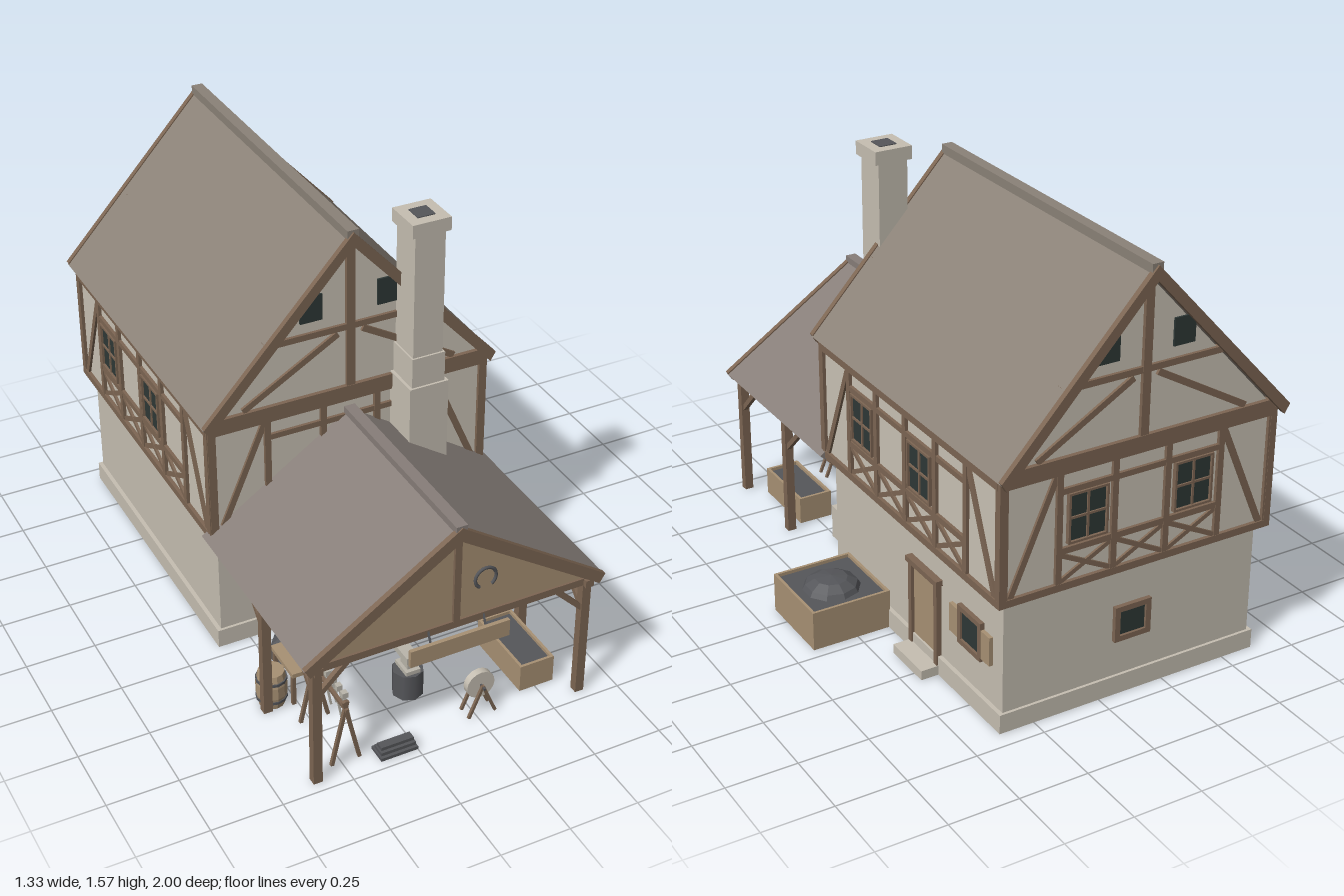
import * as THREE from 'three';

const mat = (name, color) => Object.assign(new THREE.MeshStandardMaterial({ color }), { name });
const plaster = mat('plaster', 0xcac3b5), stone = mat('stone', 0xc6bfb2), timber = mat('timber', 0x7d6653),
  wood = mat('wood', 0xa89174), roof = mat('roof', 0x8b8278), porchRoof = mat('porchRoof', 0x877e79),
  glass = mat('glass', 0x2e3836), brick = mat('brick', 0xb56c5c), coal = mat('coal', 0x55565a), steel = mat('steel', 0xbab6ab);

const CX = -0.12; // ridge line of house and porch

function add(parent, name, geo, material, x = 0, y = 0, z = 0) {
  const m = new THREE.Mesh(geo, material);
  m.name = name;
  m.position.set(x, y, z);
  parent.add(m);
  return m;
}
// box given by its limits
const box = (p, name, m, x0, x1, y0, y1, z0, z1) =>
  add(p, name, new THREE.BoxGeometry(x1 - x0, y1 - y0, z1 - z0), m, (x0 + x1) / 2, (y0 + y1) / 2, (z0 + z1) / 2);
// square bar between two points
function beam(p, name, m, a, b, w = 0.025, d = w) {
  const A = new THREE.Vector3(...a), B = new THREE.Vector3(...b), dir = B.clone().sub(A);
  const o = add(p, name, new THREE.BoxGeometry(w, dir.length(), d), m);
  o.position.copy(A).add(B).multiplyScalar(0.5);
  o.quaternion.setFromUnitVectors(new THREE.Vector3(0, 1, 0), dir.normalize());
  return o;
}
function prism(p, name, m, pts, z0, z1) {
  const s = new THREE.Shape(pts.map(q => new THREE.Vector2(...q)));
  return add(p, name, new THREE.ExtrudeGeometry(s, { depth: z1 - z0, bevelEnabled: false }), m, CX, 0, z0);
}
// faceted turned part
function turned(p, name, m, pts, sides, x, y, z) {
  const g = new THREE.LatheGeometry(pts.map(q => new THREE.Vector2(...q)), sides).toNonIndexed();
  g.computeVertexNormals();
  return add(p, name, g, m, x, y, z);
}
const heap = (p, name, r, h, x, y, z) =>
  turned(p, name, coal, [[0, 0], [r, 0], [r * 0.88, h * 0.45], [r * 0.55, h * 0.85], [0, h]], 10, x, y, z);
const group = (p, name, x = 0, y = 0, z = 0, ry = 0) => {
  const g = new THREE.Group();
  g.name = name;
  g.position.set(x, y, z);
  g.rotation.y = ry;
  p.add(g);
  return g;
};

// glazed window on a wall facing local +z
function windowUnit(p, u, y0, y1, w, frame = 0.008, bars = true) {
  const g = group(p, 'window', u, 0, 0), h = w / 2;
  box(g, 'pane', glass, -h, h, y0, y1, 0, 0.007);
  if (frame) for (const s of [-1, 1]) {
    box(g, 'jamb', timber, s * h - frame / 2, s * h + frame / 2, y0, y1, 0, 0.016);
    const y = s < 0 ? y0 : y1;
    box(g, 'frameRail', timber, -h - frame / 2, h + frame / 2, y - frame / 2, y + frame / 2, 0, 0.016);
  }
  if (bars) {
    box(g, 'mullion', timber, -0.004, 0.004, y0, y1, 0, 0.012);
    box(g, 'glazingBar', timber, -h, h, (y0 + y1) / 2 - 0.004, (y0 + y1) / 2 + 0.004, 0, 0.012);
  }
}

// timber frame of one upper wall: outermost posts are the corners
function timberWall(p, name, x, z, ry, posts, windows, parapet) {
  const g = group(p, name, x, 0, z, ry), n = posts.length, end = posts[n - 1];
  const bar = (a, b, w = 0.022, d = 0.022) => beam(g, 'timber', timber, [...a, 0], [...b, 0], w, d);
  posts.forEach((u, i) => bar([u, 0.48], [u, 0.92], i % (n - 1) ? 0.022 : 0.028, 0.024));
  bar([-end, 0.493], [end, 0.493], 0.026, 0.026);
  bar([-end, 0.905], [end, 0.905], 0.028, 0.026);
  bar([posts[1], 0.83], [posts[n - 2], 0.83], 0.02);
  for (const s of [-1, 1]) bar([s * (posts[n - 2] + 0.01), 0.89], [s * (end - 0.025), 0.505], 0.022, 0.018);
  if (parapet) {
    bar([posts[1], 0.62], [posts[n - 2], 0.62]);
    for (let i = 1; i < n - 2; i++) for (const s of [0, 1])
      bar([posts[i], s ? 0.61 : 0.505], [posts[i + 1], s ? 0.505 : 0.61], 0.016, 0.016 + s * 0.002);
  }
  windows.forEach(u => windowUnit(g, u, 0.645, 0.815, 0.14));
  return g;
}
function gableTimbers(g) {
  const bar = (a, b, w = 0.024, d = 0.022) => beam(g, 'gableTimber', timber, [...a, 0], [...b, 0], w, d);
  bar([-0.51, 0.925], [0.51, 0.925], 0.05, 0.03);
  bar([0, 0.95], [0, 1.48], 0.03, 0.026);
  bar([-0.31, 1.175], [0.31, 1.175], 0.022);
  for (const s of [-1, 1]) {
    bar([s * 0.045, 1.155], [s * 0.39, 0.955], 0.022, 0.02);
    windowUnit(g, s * 0.14, 1.225, 1.32, 0.08, 0, false);
  }
}
// two-sided roof with barge boards and ridge cap
function gableRoof(p, name, m, apex, eave, half, z0, z1, barges) {
  const g = group(p, name);
  const chevron = (t, lift) => [[-half, eave + lift], [-half + 0.02, eave - t * 0.6], [0, apex - t],
    [half - 0.02, eave - t * 0.6], [half, eave + lift], [0, apex + lift]];
  prism(g, 'roofSlopes', m, chevron(0.03, 0), z0, z1);
  for (const z of barges) prism(g, 'bargeBoard', timber, chevron(0.045, 0.006), z, z + 0.02);
  box(g, 'ridgeCap', m, CX - 0.02, CX + 0.02, apex - 0.02, apex + 0.012, z0 - 0.003, z1 + 0.003);
}

function buildHouse(root) {
  const g = group(root, 'house');
  box(g, 'plinth', stone, CX - 0.5, CX + 0.5, 0, 0.07, -0.94, 0.205);
  box(g, 'groundFloor', stone, CX - 0.485, CX + 0.485, 0.07, 0.49, -0.93, 0.195);
  prism(g, 'upperFloor', plaster, [[-0.51, 0.482], [0.51, 0.482], [0.51, 0.92], [0, 1.48], [-0.51, 0.92]], -0.95, 0.22);
  gableRoof(g, 'mainRoof', roof, 1.523, 0.935, 0.54, -0.99, 0.245, [-1, 0.235]);

  const ends = [-0.505, -0.305, -0.1, 0.1, 0.305, 0.505];
  const sides = [-0.582, -0.385, -0.195, 0, 0.195, 0.385, 0.582];
  gableTimbers(timberWall(g, 'frontFrame', CX, 0.22, 0, ends, [], false));
  gableTimbers(timberWall(g, 'backFrame', CX, -0.95, Math.PI, ends, [-0.2, 0.2], true));
  timberWall(g, 'leftFrame', CX + 0.51, -0.367, Math.PI / 2, sides, [-0.29, 0.098], true);
  timberWall(g, 'rightFrame', CX - 0.51, -0.367, -Math.PI / 2, sides, [-0.29, 0.098], true);

  // ground floor openings
  windowUnit(group(g, 'backWindow', CX, 0, -0.93, Math.PI), 0, 0.215, 0.325, 0.12, 0.02, false);
  const w = group(g, 'sideWall', CX + 0.485, 0, 0, Math.PI / 2);
  windowUnit(w, 0.745, 0.21, 0.335, 0.125, 0.018, false);
  for (const u of [0.65, 0.84]) box(w, 'shutter', wood, u - 0.03, u + 0.03, 0.215, 0.32, 0, 0.014);
  box(w, 'door', wood, 0.375, 0.53, 0.035, 0.345, 0, 0.008);
  for (const u of [0.368, 0.537]) box(w, 'doorPost', timber, u - 0.01, u + 0.01, 0.035, 0.345, 0, 0.02);
  box(w, 'doorLintel', timber, 0.35, 0.555, 0.343, 0.363, 0, 0.026);
  box(w, 'doorStep', stone, 0.36, 0.55, 0, 0.035, 0, 0.08);
}

function buildPorch(root) {
  const g = group(root, 'porch');
  gableRoof(g, 'porchRoof', porchRoof, 0.852, 0.49, 0.542, 0.2, 0.98, [0.967]);
  prism(g, 'gableBoards', wood, [[-0.5, 0.475], [0.5, 0.475], [0, 0.83]], 0.945, 0.957);
  box(g, 'kingPost', timber, CX - 0.012, CX + 0.012, 0.48, 0.81, 0.95, 0.968);
  box(g, 'tieBeam', timber, CX - 0.5, CX + 0.5, 0.455, 0.482, 0.935, 0.965);
  box(g, 'signBoard', wood, -0.3, 0.06, 0.382, 0.445, 0.984, 0.998);
  for (const x of [-0.22, -0.02]) beam(g, 'signHanger', coal, [x, 0.44, 0.98], [x, 0.48, 0.96], 0.006);
  const shoe = add(g, 'horseshoe', new THREE.TorusGeometry(0.038, 0.006, 6, 16, Math.PI * 1.6), coal, -0.015, 0.615, 0.96);
  shoe.rotation.z = -0.3 * Math.PI;
  for (const s of [-1, 1]) {
    const x = CX + s * 0.49;
    box(g, 'sideBeam', timber, x - 0.015, x + 0.015, 0.453, 0.48, 0.2, 0.98);
    for (const z of [0.95, 0.575]) {
      box(g, 'post', timber, x - 0.016, x + 0.016, 0, 0.46, z - 0.015, z + 0.015);
      beam(g, 'kneeBrace', timber, [x, 0.345, z - 0.005], [x, 0.458, z - 0.12], 0.018);
    }
    beam(g, 'crossBrace', timber, [x, 0.345, 0.95], [x - s * 0.115, 0.46, 0.95], 0.018);
  }
}

function buildForge(root) {
  const g = group(root, 'forge');
  box(g, 'hearth', stone, -0.05, 0.26, 0, 0.13, 0.195, 0.445);
  box(g, 'hearthBack', brick, -0.03, 0.245, 0.13, 0.33, 0.195, 0.275);
  box(g, 'hood', brick, -0.03, 0.245, 0.32, 0.39, 0.195, 0.42);
  box(g, 'throat', brick, 0.02, 0.2, 0.39, 0.6, 0.195, 0.36);
  heap(g, 'hearthCoal', 0.075, 0.025, 0.105, 0.13, 0.35);
  // chimney in narrowing stages
  for (const [h, y0, y1, z0, z1] of [[0.072, 0.5, 0.955, 0.21, 0.36], [0.061, 0.955, 1.065, 0.215, 0.352], [0.055, 1.065, 1.52, 0.222, 0.345]])
    box(g, 'chimneyStage', stone, 0.105 - h, 0.105 + h, y0, y1, z0, z1);
  box(g, 'chimneyCap', stone, 0.035, 0.175, 1.515, 1.563, 0.215, 0.355);
  box(g, 'flue', coal, 0.073, 0.137, 1.561, 1.566, 0.253, 0.317);
  // bellows with lever
  box(g, 'bellows', wood, -0.19, -0.075, 0.15, 0.18, 0.28, 0.39);
  box(g, 'bellowsBottom', timber, -0.18, -0.085, 0.125, 0.15, 0.29, 0.38);
  for (const x of [-0.18, -0.085]) box(g, 'bellowsStand', timber, x - 0.006, x + 0.006, 0, 0.13, 0.325, 0.345);
  beam(g, 'bellowsLever', timber, [-0.135, 0.17, 0.33], [-0.133, 0.33, 0.33], 0.008);
}

// open box with a fill
function crate(p, name, x0, x1, h, z0, z1, fill) {
  const g = group(p, name), t = 0.01;
  box(g, 'base', wood, x0, x1, 0, 0.01, z0, z1);
  for (const x of [x0, x1 - t]) box(g, 'side', wood, x, x + t, 0, h, z0, z1);
  for (const z of [z0, z1 - t]) box(g, 'end', wood, x0, x1, 0, h, z, z + t);
  box(g, 'fill', fill, x0 + t, x1 - t, 0.01, h - 0.012, z0 + t, z1 - t);
}

function buildYard(root) {
  const g = group(root, 'yard');
  crate(g, 'coalBox', 0.375, 0.67, 0.145, -0.21, 0.09, coal);
  heap(g, 'boxedCoal', 0.105, 0.05, 0.525, 0.128, -0.065);
  crate(g, 'waterTrough', 0.19, 0.32, 0.103, 0.59, 0.875, coal);
  heap(g, 'coalHeap', 0.11, 0.09, -0.38, 0, 0.35);
  for (let i = 0; i < 3; i++)
    box(g, 'ironBillet', coal, -0.385 + i * 0.005, -0.25 - i * 0.003, i * 0.013, 0.012 + i * 0.013, 0.9 + i * 0.01, 0.97 - i * 0.01);

  // barrel
  turned(g, 'barrel', wood, [[0, 0], [0.045, 0], [0.054, 0.045], [0.054, 0.09], [0.045, 0.135], [0, 0.135]], 12, -0.575, 0, 0.54);
  for (const y of [0.03, 0.105]) add(g, 'barrelHoop', new THREE.CylinderGeometry(0.0545, 0.0545, 0.01, 12), coal, -0.575, y, 0.54);

  // anvil on a stump
  add(g, 'stump', new THREE.CylinderGeometry(0.055, 0.055, 0.1, 8), coal, -0.145, 0.05, 0.7);
  box(g, 'anvilFoot', steel, -0.172, -0.118, 0.1, 0.115, 0.66, 0.74);
  box(g, 'anvilWaist', steel, -0.16, -0.13, 0.115, 0.145, 0.675, 0.725);
  box(g, 'anvilFace', steel, -0.168, -0.122, 0.145, 0.17, 0.635, 0.735);
  add(g, 'anvilHorn', new THREE.ConeGeometry(0.013, 0.04, 8), steel, -0.145, 0.157, 0.755).rotation.x = Math.PI / 2;

  // grindstone on trestles
  add(g, 'grindstone', new THREE.CylinderGeometry(0.052, 0.052, 0.025, 16), stone, 0.02, 0.115, 0.89).rotation.x = Math.PI / 2;
  for (const z of [0.865, 0.915]) for (const s of [-1, 1])
    beam(g, 'grindstoneLeg', timber, [0.02, 0.12, z], [0.02 + s * 0.05, 0, z], 0.01);
  beam(g, 'grindstoneAxle', coal, [0.02, 0.115, 0.85], [0.02, 0.115, 0.93], 0.008);

  // work bench
  box(g, 'benchTop', wood, -0.525, -0.415, 0.122, 0.138, 0.43, 0.6);
  for (const x of [-0.515, -0.425]) for (const z of [0.445, 0.585])
    box(g, 'benchLeg', timber, x - 0.007, x + 0.007, 0, 0.125, z - 0.007, z + 0.007);

  // tool rack with hanging tools
  for (const z of [0.68, 0.91]) for (const s of [-1, 1])
    beam(g, 'rackLeg', timber, [-0.485 - s * 0.006, 0.25, z], [-0.485 + s * 0.05, 0, z], 0.012);
  beam(g, 'rackRail', timber, [-0.485, 0.22, 0.66], [-0.485, 0.22, 0.925], 0.012);
  for (let i = 0; i < 5; i++) {
    const z = 0.715 + i * 0.04;
    beam(g, 'toolHandle', steel, [-0.472, 0.25, z], [-0.44, 0.07 + (i % 2) * 0.04, z], 0.007);
    box(g, 'toolHead', steel, -0.482, -0.462, 0.238, 0.258, z - 0.01, z + 0.01);
  }
}

export function createModel() {
  const root = new THREE.Group();
  root.name = 'smithy';
  buildHouse(root);
  buildPorch(root);
  buildForge(root);
  buildYard(root);
  return root;
}
